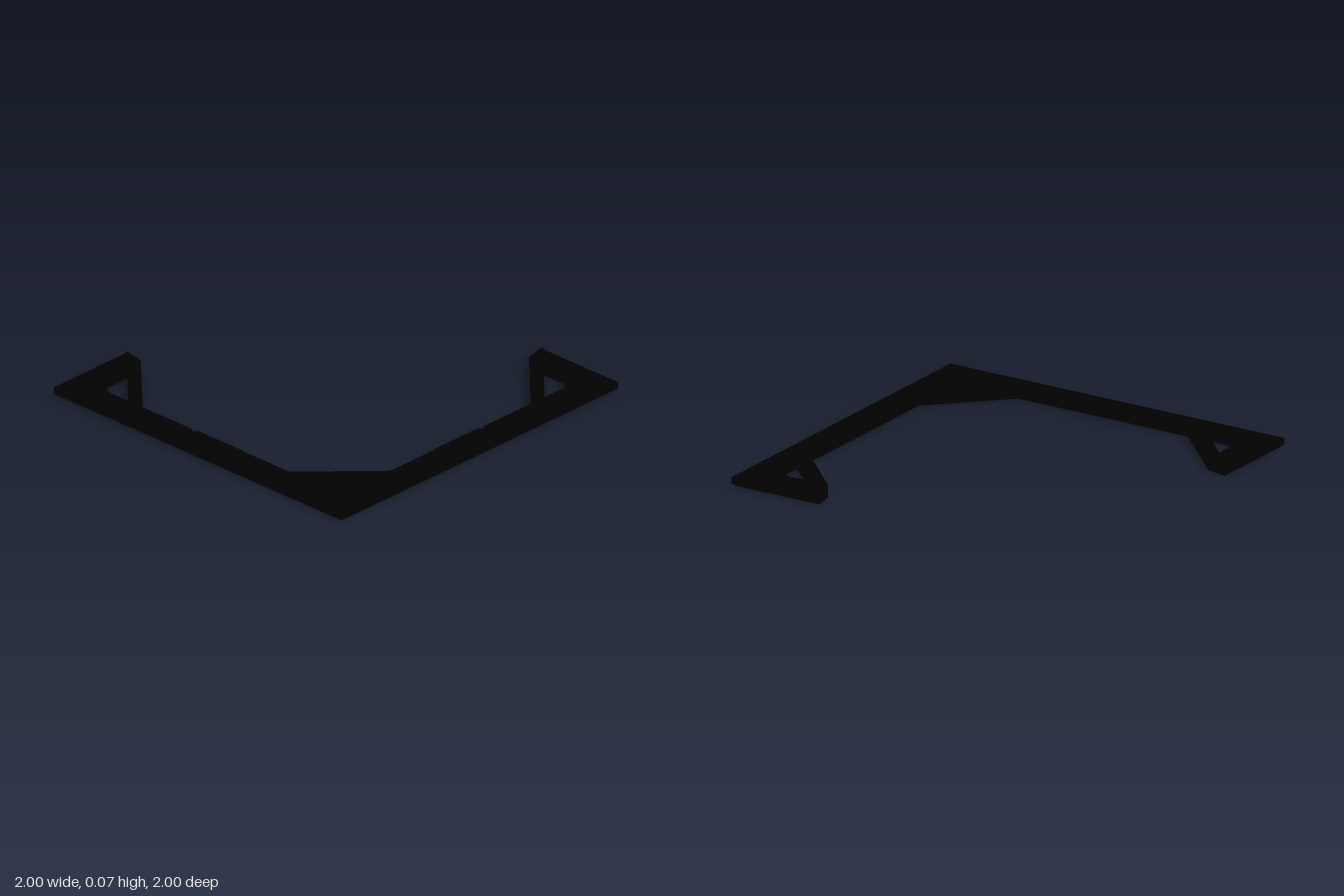
import * as THREE from 'three';

const material = new THREE.MeshStandardMaterial({ color: 0x010101 });
const FLOOR = 0.02, RIM = 0.05, LIP = 0.065, LIP_WIDTH = 0.005, TAB_HALF = 0.165;

// Triangular opening behind each corner brace, as [x, z]
const HOLE = [[0.87, 0.6], [0.6, 0.87], [0.755, 0.87], [0.87, 0.755]];
const CORNERS = [[1, 1], [-1, 1], [-1, -1]];

const toPoints = (pts) => pts.map(([x, z]) => new THREE.Vector2(x, -z));
const mirrored = (pts, [sx, sz]) => pts.map(([x, z]) => [x * sx, z * sz]);

function addMesh(parent, name, geometry) {
  const mesh = new THREE.Mesh(geometry, material);
  mesh.name = name;
  parent.add(mesh);
  return mesh;
}

// Extrude a plan shape upward from y0 to y1
function extrudePlan(shape, y0, y1, steps = 1) {
  const geo = new THREE.ExtrudeGeometry(shape, { depth: y1 - y0, steps, bevelEnabled: false });
  return geo.rotateX(-Math.PI / 2).translate(0, y0, 0);
}

// Thin upright lip along a run of plan points
function addLip(parent, run) {
  for (let i = 0; i + 1 < run.length; i++) {
    const [px, pz] = run[i], [qx, qz] = run[i + 1];
    const length = Math.hypot(qx - px, qz - pz);
    const strip = addMesh(parent, 'innerLip', new THREE.BoxGeometry(length, LIP, LIP_WIDTH));
    strip.rotation.y = -Math.atan2(qz - pz, qx - px);
    strip.position.set((px + qx) / 2, LIP / 2, (pz + qz) / 2);
  }
}

// L-shaped floor with a braced triangular opening in each of its three corners
function floorGeometry() {
  const shape = new THREE.Shape(toPoints([
    [-1, -1], [-1, 1], [1, 1], [1, 0.485], [0.87, 0.51], [0.51, 0.87],
    [-0.51, 0.87], [-0.87, 0.51], [-0.87, -0.51], [-0.51, -0.87], [-0.485, -1],
  ]));
  for (const corner of CORNERS) {
    shape.holes.push(new THREE.Path(toPoints(mirrored(HOLE, corner))));
  }
  const geo = extrudePlan(shape, 0, FLOOR, 2);
  // Chamfer the lower outer edge
  const pos = geo.attributes.position;
  for (let i = 0; i < pos.count; i++) {
    const y = pos.getY(i);
    if (y < 0.001) {
      pos.setX(i, THREE.MathUtils.clamp(pos.getX(i), -0.98, 0.98));
      pos.setZ(i, THREE.MathUtils.clamp(pos.getZ(i), -0.98, 0.98));
    } else if (y < FLOOR - 0.001) {
      pos.setY(i, 0.015);
    }
  }
  geo.computeVertexNormals();
  return geo;
}

// Thin raised cap at the free end of an arm, chamfered at its outer edge
function endCapGeometry() {
  const profile = new THREE.Shape([
    [0.87, 0], [0.98, 0], [1, 0.015], [1, 0.05], [0.98, 0.07], [0.88, 0.07], [0.87, 0.065],
  ].map(([x, y]) => new THREE.Vector2(x, y)));
  const geo = new THREE.ExtrudeGeometry(profile, { depth: LIP_WIDTH, bevelEnabled: false });
  // Follow the slanted end of the arm
  const pos = geo.attributes.position;
  for (let i = 0; i < pos.count; i++) {
    pos.setZ(i, pos.getZ(i) + 0.509 - (pos.getX(i) - 0.87) * 0.19);
  }
  geo.computeVertexNormals();
  return geo;
}

// Mirror across the frame's diagonal, swapping corners so faces stay outward
function mirrorAcrossDiagonal(source) {
  const geo = source.clone();
  const from = source.attributes.position, to = geo.attributes.position;
  for (let i = 0; i < to.count; i++) {
    const j = i - (i % 3) + 2 - (i % 3);
    to.setXYZ(i, -from.getZ(j), from.getY(j), -from.getX(j));
  }
  geo.computeVertexNormals();
  return geo;
}

export function createModel() {
  const group = new THREE.Group();
  group.name = 'cornerFrame';
  addMesh(group, 'floor', floorGeometry());

  // Low wall around the outside of the tray
  const wall = new THREE.Shape(toPoints([
    [-1, -1], [-1, 1], [1, 1], [1, 0.485], [0.99, 0.487],
    [0.99, 0.99], [-0.99, 0.99], [-0.99, -0.99], [-0.487, -0.99], [-0.485, -1],
  ]));
  addMesh(group, 'outerWall', extrudePlan(wall, FLOOR, RIM));

  // Lips along the inner edge, interrupted at the tabs
  addLip(group, [[0.87, 0.51], [0.51, 0.87], [TAB_HALF, 0.87]]);
  addLip(group, [[-TAB_HALF, 0.87], [-0.51, 0.87], [-0.87, 0.51], [-0.87, TAB_HALF]]);
  addLip(group, [[-0.87, -TAB_HALF], [-0.87, -0.51], [-0.51, -0.87]]);

  // Lips around the corner openings
  for (const corner of CORNERS) addLip(group, mirrored([...HOLE, HOLE[0]], corner));

  // Tapered tabs in the middle of both long rails
  const tabPlan = new THREE.Shape(toPoints([
    [-TAB_HALF, 0.875], [TAB_HALF, 0.875], [TAB_HALF - 0.008, 0.84], [0.008 - TAB_HALF, 0.84],
  ]));
  const tab = extrudePlan(tabPlan, 0.018, RIM - 0.001);
  addMesh(group, 'frontTab', tab);
  addMesh(group, 'sideTab', tab).rotation.y = -Math.PI / 2;

  // Caps on the two free arm ends
  const cap = endCapGeometry();
  addMesh(group, 'rightEndCap', cap);
  addMesh(group, 'backEndCap', mirrorAcrossDiagonal(cap));

  return group;
}
